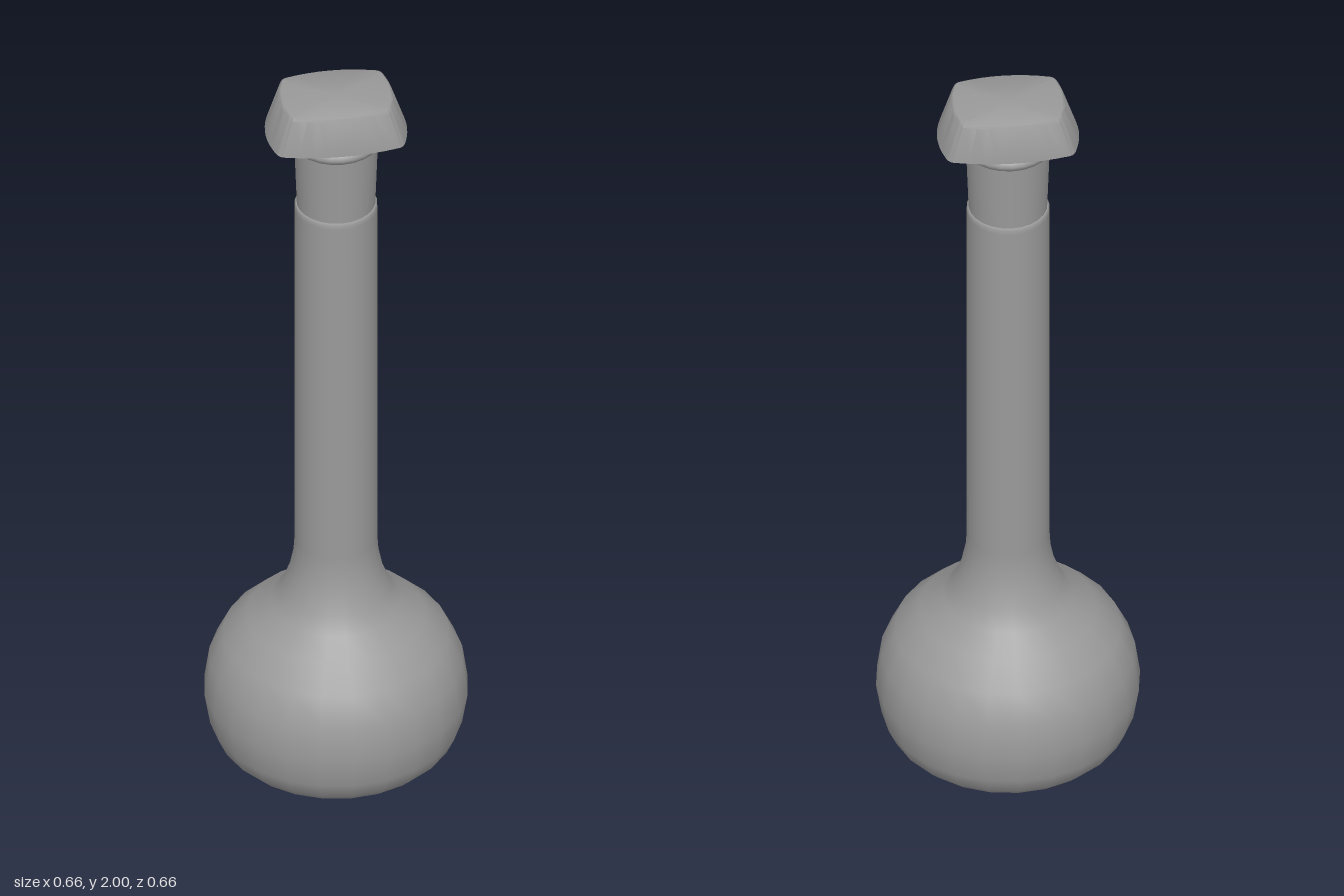
import * as THREE from 'three';
import { toCreasedNormals } from 'three/addons/utils/BufferGeometryUtils.js';

const material = new THREE.MeshStandardMaterial({ color: 0x9a9a9a });

function part(name, geometry) {
  const mesh = new THREE.Mesh(geometry, material);
  mesh.name = name;
  return mesh;
}

// Turned part from [radius, height] pairs, bottom to top
function turned(name, profile) {
  const points = profile.map(([r, y]) => new THREE.Vector2(r, y));
  return part(name, new THREE.LatheGeometry(points, 24));
}

// Bowed rectangle with rounded corners
function capOutline() {
  const s = new THREE.Shape();
  s.moveTo(0.164, -0.08);
  s.quadraticCurveTo(0.192, 0, 0.164, 0.08);
  s.quadraticCurveTo(0.158, 0.098, 0.145, 0.101);
  s.quadraticCurveTo(0, 0.136, -0.145, 0.101);
  s.quadraticCurveTo(-0.158, 0.098, -0.164, 0.08);
  s.quadraticCurveTo(-0.192, 0, -0.164, -0.08);
  s.quadraticCurveTo(-0.158, -0.098, -0.145, -0.101);
  s.quadraticCurveTo(0, -0.136, 0.145, -0.101);
  s.quadraticCurveTo(0.158, -0.098, 0.164, -0.08);
  return s.getPoints(8);
}

// Cap lofted through scaled outlines: sharp below, softened rim above
function capGeometry() {
  const outline = capOutline();
  const levels = [ // x scale, z scale, height
    [0, 0, 1.892], [1, 1, 1.892], [0.808, 0.91, 1.993],
    [0.793, 0.9, 1.998], [0.765, 0.875, 2], [0, 0, 2],
  ];
  const positions = [], index = [], n = outline.length;
  for (const [sx, sz, y] of levels) {
    for (const p of outline) positions.push(p.x * sx, y, -p.y * sz);
  }
  for (let i = 0; i < levels.length - 1; i++) {
    for (let j = 0; j < n - 1; j++) {
      const a = i * n + j, b = a + 1, c = b + n, d = a + n;
      if (levels[i][0] > 0) index.push(a, b, d);
      if (levels[i + 1][0] > 0) index.push(b, c, d);
    }
  }
  const g = new THREE.BufferGeometry();
  g.setAttribute('position', new THREE.Float32BufferAttribute(positions, 3));
  g.setIndex(index);
  return toCreasedNormals(g, 0.9);
}

export function createModel() {
  const model = new THREE.Group();
  model.name = 'volumetricFlask';

  // Round bulb on a flat base, flowing into the long neck and a small lip
  model.add(turned('flaskBody', [
    [0, 0], [0.23, 0], [0.27, 0.018], [0.298, 0.046], [0.318, 0.09],
    [0.332, 0.175], [0.319, 0.265], [0.283, 0.34], [0.222, 0.4], [0.165, 0.443],
    [0.137, 0.487], [0.117, 0.54], [0.107, 0.59], [0.104, 0.64], [0.104, 1.655],
    [0.104, 1.667], [0.1, 1.672], [0.09, 1.672],
  ]));

  const stopper = new THREE.Group();
  stopper.name = 'stopper';
  // Tapered plug, closed at its hidden lower end
  stopper.add(turned('stopperPlug', [[0.097, 1.62], [0.099, 1.672], [0.106, 1.866]]));
  // Collar and the short stem under the cap
  stopper.add(turned('stopperCollar', [
    [0.104, 1.862], [0.112, 1.863], [0.115, 1.874], [0.112, 1.886], [0.1, 1.889], [0.1, 1.895],
  ]));
  stopper.add(part('stopperCap', capGeometry()));
  model.add(stopper);
  return model;
}
